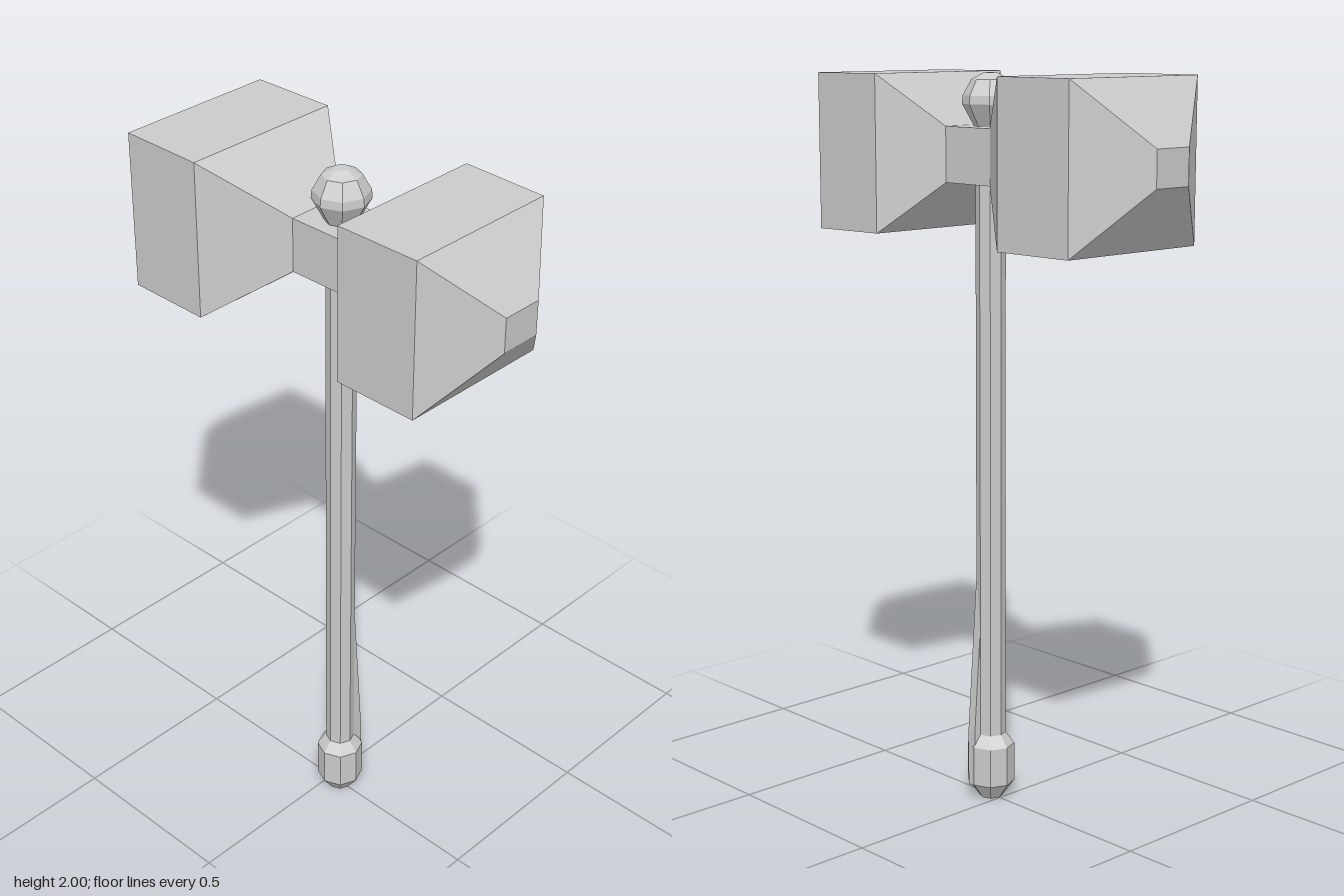
import * as THREE from 'three';

const AXIS_X = 0.035; // the handle sits slightly off the middle

export function createModel() {
  const group = new THREE.Group();
  group.name = 'warHammer';
  const material = new THREE.MeshStandardMaterial({ color: 0xcccccc, flatShading: true });

  const add = (name, geometry, x = 0) => {
    const mesh = new THREE.Mesh(geometry, material);
    mesh.name = name;
    mesh.position.x = x;
    group.add(mesh);
  };

  // Eight-sided turned part from [radius, y] pairs, bottom to top
  const turned = (name, profile) =>
    add(name, new THREE.LatheGeometry(profile.map(([r, y]) => new THREE.Vector2(r, y)), 8), AXIS_X);

  turned('handle', [[0, 0.16], [0.04, 0.16], [0.04, 1.74], [0, 1.74]]);
  turned('pommel', [[0, 0], [0.033, 0], [0.065, 0.045], [0.065, 0.155], [0.04, 0.187], [0, 0.187]]);
  turned('topKnob', [[0, 1.85], [0.042, 1.86], [0.075, 1.92], [0.073, 1.942], [0.05, 1.983], [0.018, 2], [0, 2]]);

  // Thin tapered spur down the back of the handle
  const spur = new THREE.Shape([[0.028, 0.04], [0.06, 0.04], [0.06, 0.2], [0.03, 0.62], [0.01, 0.62], [0.01, 0.04]]
    .map(([s, y]) => new THREE.Vector2(s, y)));
  const spurGeometry = new THREE.ExtrudeGeometry(spur, { depth: 0.026, bevelEnabled: false });
  spurGeometry.rotateY(Math.PI / 2);
  add('handleSpur', spurGeometry, AXIS_X + 0.002);

  // Double head: rectangular sections [x, bottom, top, back, front] joined along x
  add('hammerHead', loftBoxes([
    [-0.607, 1.74, 1.835, -0.06, 0.055],
    [-0.48, 1.573, 2.0, -0.23, 0.226],
    [-0.238, 1.573, 2.0, -0.234, 0.229],
    [-0.054, 1.715, 1.862, -0.086, 0.08],
    [0.115, 1.715, 1.862, -0.086, 0.08],
    [0.233, 1.582, 1.998, -0.227, 0.222],
    [0.473, 1.578, 1.996, -0.224, 0.219],
    [0.603, 1.742, 1.835, -0.06, 0.055],
  ]));

  return group;
}

function loftBoxes(sections) {
  const rings = sections.map(([x, lo, hi, back, front]) =>
    [[x, lo, back], [x, hi, back], [x, hi, front], [x, lo, front]]);
  const positions = [];
  const quad = (a, b, c, d) => positions.push(...a, ...b, ...c, ...a, ...c, ...d);
  for (let s = 0; s < rings.length - 1; s++) {
    for (let i = 0; i < 4; i++) {
      const j = (i + 1) % 4;
      quad(rings[s][i], rings[s][j], rings[s + 1][j], rings[s + 1][i]);
    }
  }
  quad(...[...rings[0]].reverse());
  quad(...rings[rings.length - 1]);
  const geometry = new THREE.BufferGeometry();
  geometry.setAttribute('position', new THREE.Float32BufferAttribute(positions, 3));
  geometry.computeVertexNormals();
  return geometry;
}
